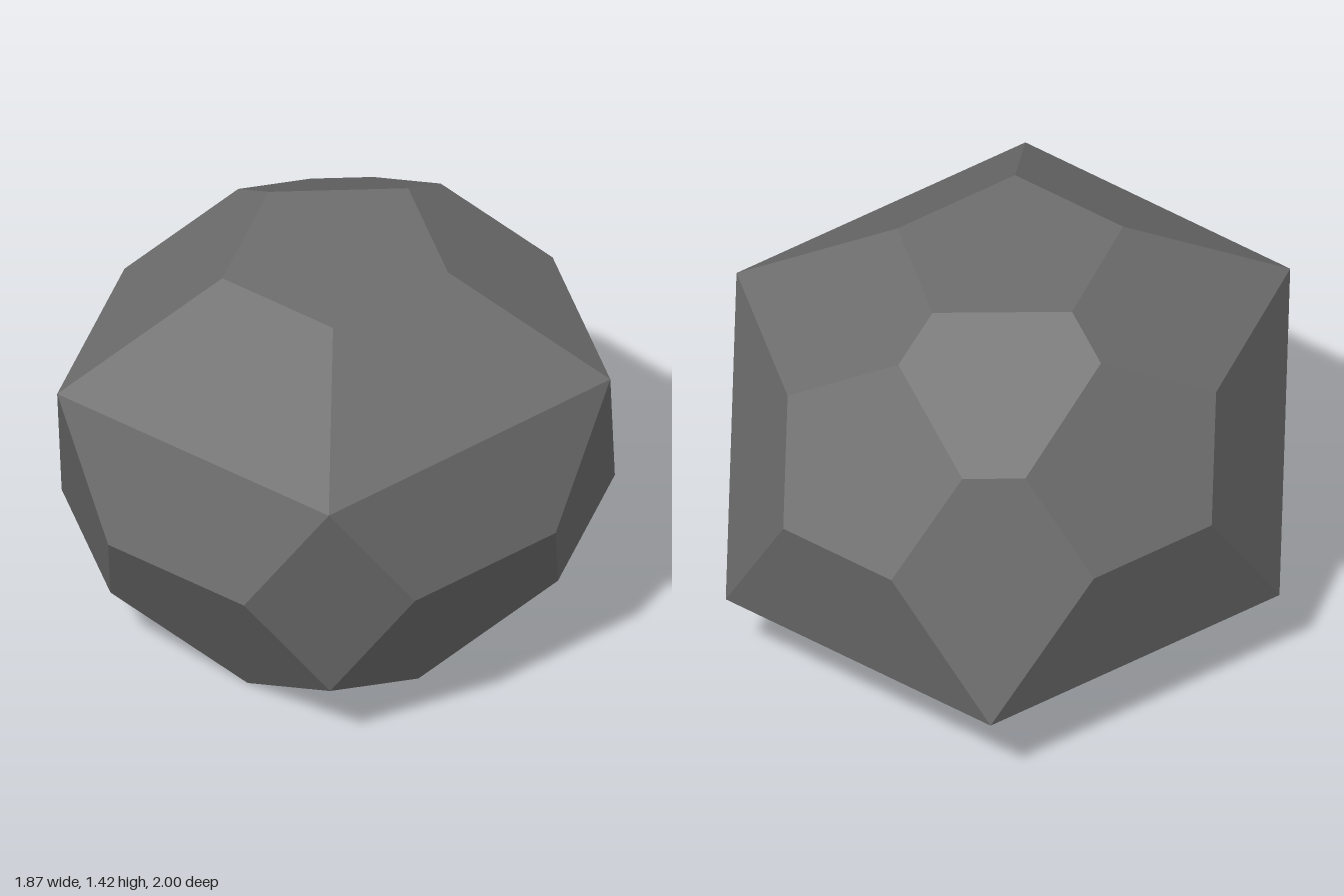
import * as THREE from 'three';
import { ConvexGeometry } from 'three/addons/geometries/ConvexGeometry.js';

// Faceted boulder: a stretched icosahedron with some of its corners cut off.
const H = 0.9475, RX = 0.937, RZ = 1.0515, CENTRE = 0.7236 * H;

// Corners of the stretched icosahedron; cut = how far along each edge the corner is sliced.
function makeCorners() {
  const corners = [];
  const add = (x, y, z, cut) => corners.push({ p: new THREE.Vector3(x, y + CENTRE, z), cut });
  const ring = (y, start, cuts) => cuts.forEach((cut, i) => {
    const a = start + (i * Math.PI * 2) / 5;
    add(RX * Math.cos(a), y, RZ * Math.sin(a), cut);
  });
  add(0, H, 0, 0.408);
  ring(H / Math.sqrt(5), 0, [0, 0, 0, 0.408, 0.408]);
  ring(-H / Math.sqrt(5), Math.PI / 5, [0.5, 0.5, 0, 0, 0]);
  add(0, -H, 0, 0.5);
  return corners;
}

// Neighbours are found on the unstretched solid, where all edges are equal.
function areNeighbours(a, b) {
  const unit = (v) => new THREE.Vector3(v.x / RX, (v.y - CENTRE) * Math.sqrt(1.25) / H, v.z / RZ);
  return a !== b && unit(a.p).distanceTo(unit(b.p)) < 1.4;
}

export function createModel() {
  const group = new THREE.Group();
  group.name = 'boulder';
  const stone = new THREE.MeshStandardMaterial({ color: 0x6e6e6e });
  stone.name = 'stone grey';

  const corners = makeCorners();
  const points = [];
  for (const c of corners) {
    if (c.cut === 0) { points.push(c.p.clone()); continue; }
    for (const n of corners) {
      if (!areNeighbours(c, n)) continue;
      const q = c.p.clone().lerp(n.p, c.cut);
      // Two cut corners can meet at the same edge midpoint
      if (!points.some((o) => o.distanceTo(q) < 1e-4)) points.push(q);
    }
  }

  const rock = new THREE.Mesh(new ConvexGeometry(points), stone);
  rock.name = 'rock';
  group.add(rock);
  return group;
}
